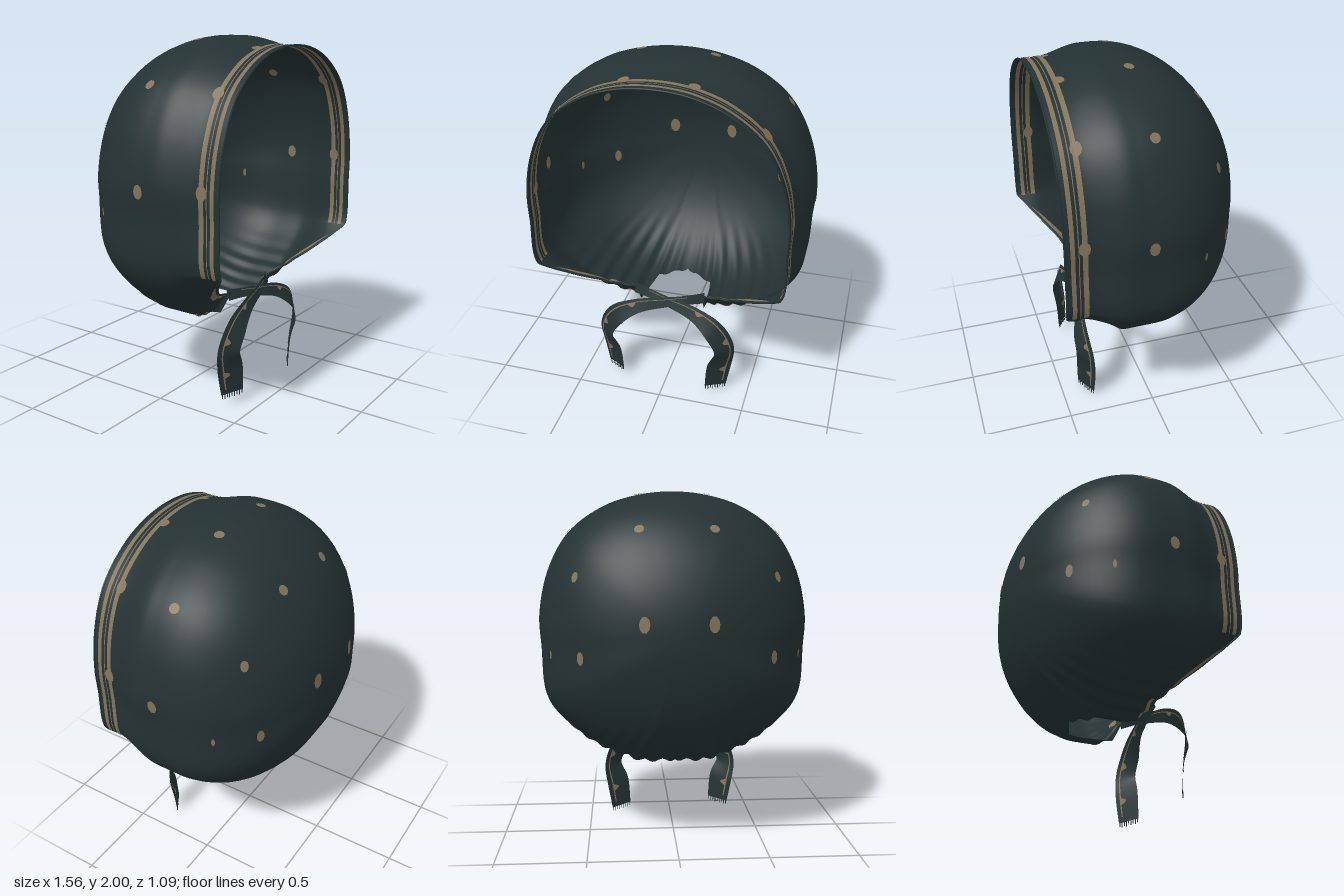
import * as THREE from 'three';
import { mergeVertices } from 'three/addons/utils/BufferGeometryUtils.js';

// Half outline from crown to nape: x, y of the widest section, z of the open edge, edge tightness
const KEYS = [
  [0, 2, .54, .94], [.2, 1.98, .54, .94], [.4, 1.915, .54, .93], [.6, 1.77, .54, .92],
  [.72, 1.56, .54, .91], [.775, 1.3, .54, .905], [.765, 1.1, .54, .915], [.755, .9, .54, .93],
  [.735, .82, .54, .93], [.68, .73, .475, .9], [.5, .57, .35, .85], [.35, .49, .3, .82],
  [.24, .45, .27, .81], [.2, .435, .2, .97], [.17, .432, -.08, 1], [0, .43, -.16, 1],
];
const LAST = KEYS.length - 1, LOOP = LAST * 2, CY = 1.2, BACK = .55;
const { lerp, smoothstep } = THREE.MathUtils;
const outline = new THREE.CatmullRomCurve3(
  Array.from({ length: LOOP }, (_, i) => {
    const k = KEYS[i <= LAST ? i : LOOP - i];
    return new THREE.Vector3(i <= LAST ? k[0] : -k[0], k[1], 0);
  }), true);

// Outline point and edge values at loop position i (negative i is the mirrored side)
function section(i) {
  const m = ((i % LOOP) + LOOP) % LOOP;
  const h = m > LAST ? LOOP - m : m;
  const a = Math.min(Math.floor(h), LAST - 1), f = h - a;
  const s = outline.getPoint(m / LOOP);
  const d = (s.y - CY) / .8;
  return {
    s, edge: lerp(KEYS[a][2], KEYS[a + 1][2], f), tight: lerp(KEYS[a][3], KEYS[a + 1][3], f),
    mid: .05 + (d > 0 ? .07 : .03) * d,
  };
}

// Point on the cap: domed behind the widest section, drawn in towards the open edge
function surface(i, z) {
  const { s, edge, tight, mid } = section(i);
  const b = Math.min(1, Math.max(0, (mid - z) / (mid + BACK)));
  const hi = Math.min(.45, edge), lo = Math.min(.18, hi - .15);
  let p = Math.sqrt(1 - b * b) * (1 - (1 - tight) * smoothstep(z, lo, hi));
  const y = CY + (s.y - CY) * p;
  // gathers that fan out from the neck
  p *= 1 + .012 * (1 - smoothstep(y, .45, .75)) * Math.sin(48 * Math.atan2(s.y - CY, Math.abs(s.x)));
  return new THREE.Vector3(s.x * p, CY + (s.y - CY) * p, z);
}

function normal(i, z) {
  const e = .004;
  const du = surface(i + e, z).sub(surface(i - e, z));
  const dz = surface(i, z + e).sub(surface(i, z - e));
  const n = du.cross(dz).normalize();
  const c = surface(i, z).sub(new THREE.Vector3(0, CY, .1));
  return n.dot(c) < 0 ? n.negate() : n;
}

// Smooth sheet from a rule fn(u, v)
function sheet(fn, nu, nv) {
  const pos = [], idx = [];
  for (let a = 0; a <= nu; a++) for (let b = 0; b <= nv; b++) {
    pos.push(...fn(a / nu, b / nv).toArray());
    if (a < nu && b < nv) {
      const k = a * (nv + 1) + b;
      idx.push(k, k + 1, k + nv + 1, k + 1, k + nv + 2, k + nv + 1);
    }
  }
  let g = new THREE.BufferGeometry();
  g.setAttribute('position', new THREE.Float32BufferAttribute(pos, 3));
  g.setIndex(idx);
  g = mergeVertices(g, 1e-5);
  g.computeVertexNormals();
  return g;
}

export function createModel() {
  const root = new THREE.Group();
  root.name = 'bonnet';
  const cloth = new THREE.MeshStandardMaterial({ color: 0x243133, side: THREE.DoubleSide });
  cloth.name = 'dark green cloth';
  const tan = new THREE.MeshStandardMaterial({ color: 0x83735a, side: THREE.DoubleSide });
  tan.name = 'tan print';
  const add = (name, geo, mat, parent = root) => {
    const m = new THREE.Mesh(geo, mat);
    m.name = name;
    parent.add(m);
    return m;
  };

  // Cap
  add('cap', sheet((u, v) => {
    const i = u * LOOP, { edge, mid } = section(i);
    const start = edge >= mid ? -(edge - mid) / (.54 - mid)
      : Math.asin((mid - edge) / (mid + BACK)) * 2 / Math.PI;
    const t = lerp(start, 1, v);
    return surface(i, t < 0 ? mid - t * (.54 - mid) : mid - (mid + BACK) * Math.sin(t * Math.PI / 2));
  }, 300, 40), cloth);

  // Rolled hem around the face
  const hem = Array.from({ length: 81 }, (_, k) => {
    const i = lerp(-12, 12, k / 80);
    return surface(i, section(i).edge - .004);
  });
  add('hem', new THREE.TubeGeometry(new THREE.CatmullRomCurve3(hem), 160, .005, 6), cloth);

  // Printed bands, on both faces of the cloth
  const band = (name, i0, i1, za, zb) => {
    for (const off of [.004, -.004]) add(name, sheet((u, v) => {
      const i = lerp(i0, i1, u), z = lerp(za(i, u), zb(i, u), v);
      return surface(i, z).addScaledVector(normal(i, z), off);
    }, Math.ceil(Math.abs(i1 - i0) * 10), 3), tan);
  };
  for (const [a, b] of [[.485, .508], [.463, .468], [.42, .447]])
    band('faceStripe', -8.1, 8.1, () => a, () => b);
  for (const m of [-1, 1]) {
    band('jawStripe', m * 9, m * 11.8,
      i => section(i).edge - .015, (i, u) => section(i).edge - .018 - .035 * Math.sin(Math.PI * u));
    band('neckMark', m * 10.6, m * 11.9, () => .135, () => .155);
  }

  // Dots: x, y, z, width, height (x and y give the direction from the centre line)
  const dots = [
    [.21, 1.8, -.32, .028, .028], [.21, 1.3, -.53, .03, .045], [.56, 1.53, -.31, .022, .03],
    [.49, 1.1, -.39, .022, .038], [.2, 1.98, .055, .028, .028], [.59, 1.75, .05, .028, .028],
    [.77, 1.25, .1, .028, .038], [.18, 1.94, .415, .032, .03], [.51, 1.7, .425, .03, .038],
    [.7, 1.27, .435, .03, .04], [.7, 1.09, -.21, .01, .025],
  ];
  const dotGroup = new THREE.Group();
  dotGroup.name = 'dots';
  root.add(dotGroup);
  for (const [x, y, z, w, h] of dots) {
    const want = Math.atan2(y - CY, x);
    let lo = 0, hi = LAST;
    for (let k = 0; k < 30; k++) {
      const mid = (lo + hi) / 2, s = section(mid).s;
      if (Math.atan2(s.y - CY, s.x) > want) lo = mid; else hi = mid;
    }
    for (const m of [-1, 1]) for (const off of [.004, -.004]) {
      const n = normal(m * lo, z);
      const dot = add('dot', new THREE.CircleGeometry(1, 10), tan, dotGroup);
      dot.scale.set(w, h, 1);
      dot.position.copy(surface(m * lo, z)).addScaledVector(n, off);
      dot.lookAt(dot.position.clone().add(n));
    }
  }

  // Crossed ties: centre line, then width and forward tilt along it
  const path = [[.21, .58, .26], [.1, .575, .295], [0, .56, .32], [-.17, .525, .355], [-.3, .44, .38],
    [-.36, .32, .37], [-.33, .2, .36], [-.31, .06, .36]];
  const shape = [[.06, .01], [.05, .01], [.055, .01], [.08, .015], [.11, .03], [.1, .04], [.13, .04], [.115, .035]];
  for (const m of [1, -1]) {
    const tie = new THREE.Group();
    tie.name = m > 0 ? 'rightTie' : 'leftTie';
    root.add(tie);
    const line = new THREE.CatmullRomCurve3(path.map(([x, y, z], k) => new THREE.Vector3(
      x * m, y - (m < 0 && k > 4 ? .01 * (k - 4) : 0), z + (m > 0 && k > 0 && k < 4 ? .012 : 0))));
    const size = new THREE.CatmullRomCurve3(shape.map(([w, t]) => new THREE.Vector3(w, t, 0)));
    // a runs from the outer edge (-1) to the inner edge (1)
    const at = (t, a, off = 0) => {
      const d = line.getTangent(t), s = size.getPoint(t);
      const flat = Math.hypot(d.x, d.y) || 1;
      const side = new THREE.Vector3(-d.y / flat * m * s.x / 2, d.x / flat * m * s.x / 2, s.y);
      const n = side.clone().cross(d).normalize();
      return line.getPoint(t).addScaledVector(side, a).addScaledVector(n, off);
    };
    add('ribbon', sheet((u, v) => at(u, v * 2 - 1), 60, 4), cloth, tie);
    for (const off of [.004, -.004]) {
      add('ribbonStripe', sheet((u, v) => at(lerp(.12, .97, u), lerp(-.62, -.5, v), off), 60, 1), tan, tie);
      for (const t of [.45, .66, .88]) // half dots against the stripe
        add('ribbonDot', sheet((u, v) => at(t + .022 * (u * 2 - 1),
          -.5 + .45 * v * Math.sin(Math.PI * u), off), 8, 2), tan, tie);
    }
    // Frayed end
    for (let k = 0; k < 9; k++) {
      const len = k % 2 ? .03 : .024;
      const thread = add('fringe', new THREE.BoxGeometry(.004, len, .004), cloth, tie);
      thread.position.copy(at(1, lerp(-.9, .9, k / 8)));
      thread.position.y -= len / 2 - .003;
    }
  }
  return root;
}
